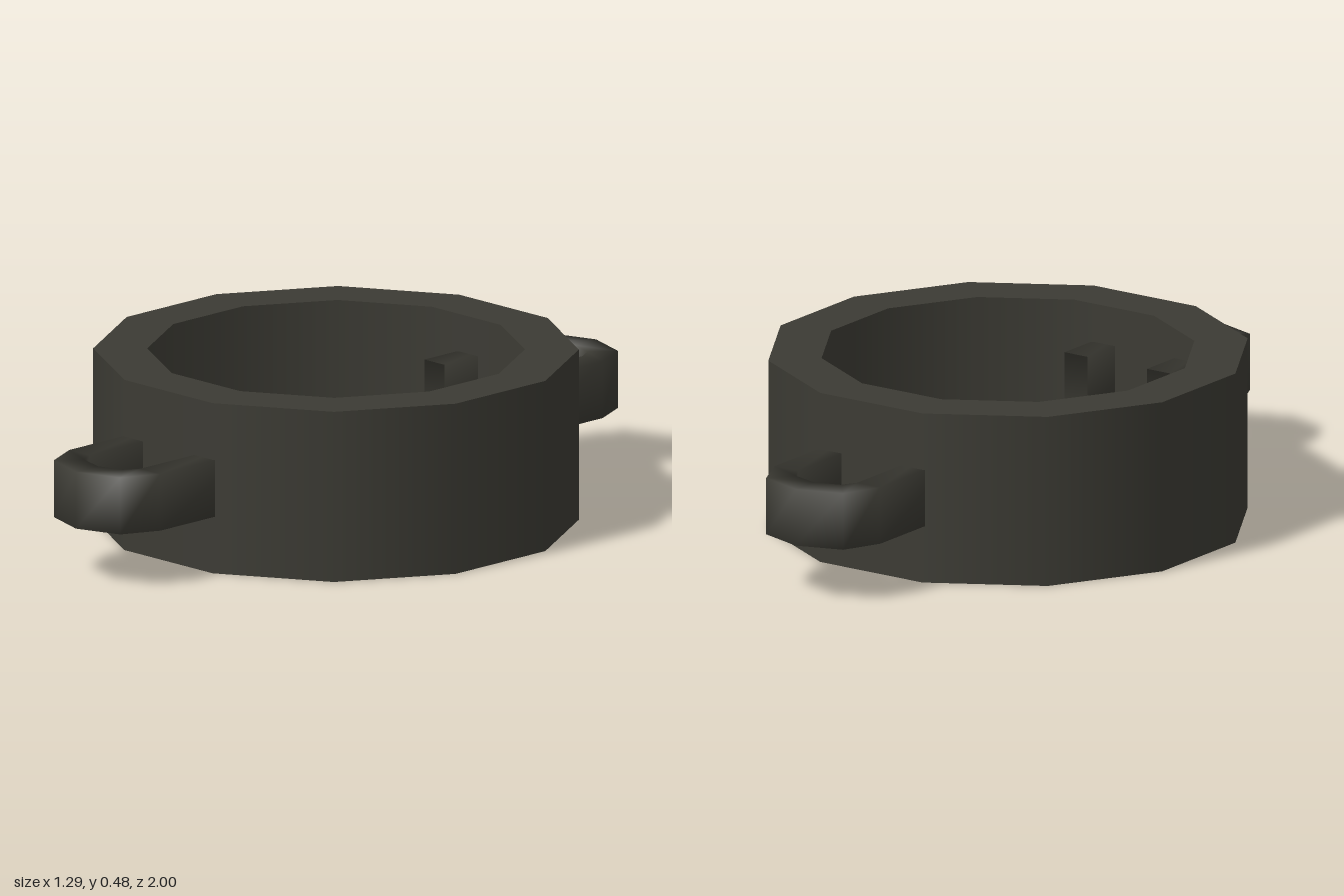
import * as THREE from 'three';

export function createModel() {
  const model = new THREE.Group();
  const darkMetal = new THREE.MeshStandardMaterial({ color: 0x3c3b34, side: THREE.DoubleSide });
  darkMetal.name = 'dark metal';

  const add = (name, geometry, parent = model) => {
    const mesh = new THREE.Mesh(geometry, darkMetal);
    mesh.name = name;
    parent.add(mesh);
    return mesh;
  };

  const height = 0.483, outer = 0.666, inner = 0.518, sides = 12;
  const turn = Math.PI / sides;

  // Twelve-sided band wall, open towards the inside between two flat rims
  const wall = add('bandWall', new THREE.CylinderGeometry(outer, outer, height, sides, 1, true, turn));
  wall.position.y = height / 2;

  const rimGeometry = new THREE.RingGeometry(inner, outer, sides, 1, turn);
  const topRim = add('topRim', rimGeometry);
  topRim.rotation.x = -Math.PI / 2;
  topRim.position.y = height;
  const bottomRim = add('bottomRim', rimGeometry);
  bottomRim.rotation.x = Math.PI / 2;

  // Loop handle: four-cornered section swept around a U, legs reaching through the wall
  // Each station: outer x, outer z, inner x, inner z
  const half = [
    [0.178, 0.515, 0.1, 0.515],
    [0.178, 0.85, 0.1, 0.85],
    [0.13, 0.957, 0.075, 0.893],
  ];
  const mirrored = half.map(([ox, oz, ix, iz]) => [-ox, oz, -ix, iz]).reverse();
  const stations = [...half, [0, 1, 0, 0.915], ...mirrored];
  const low = 0.161, high = 0.322;
  const positions = [], index = [];
  stations.forEach(([ox, oz, ix, iz], i) => {
    positions.push(ox, low, oz, ox, high, oz, ix, high, iz, ix, low, iz);
    if (i === stations.length - 1) return;
    for (let k = 0; k < 4; k++) {
      const a = i * 4 + k, b = i * 4 + (k + 1) % 4;
      index.push(a, b, a + 4, b, b + 4, a + 4);
    }
  });
  const loopGeometry = new THREE.BufferGeometry();
  loopGeometry.setAttribute('position', new THREE.Float32BufferAttribute(positions, 3));
  loopGeometry.setIndex(index);
  loopGeometry.computeVertexNormals();

  add('frontLoop', loopGeometry);
  add('backLoop', loopGeometry).rotation.y = Math.PI;

  return model;
}
